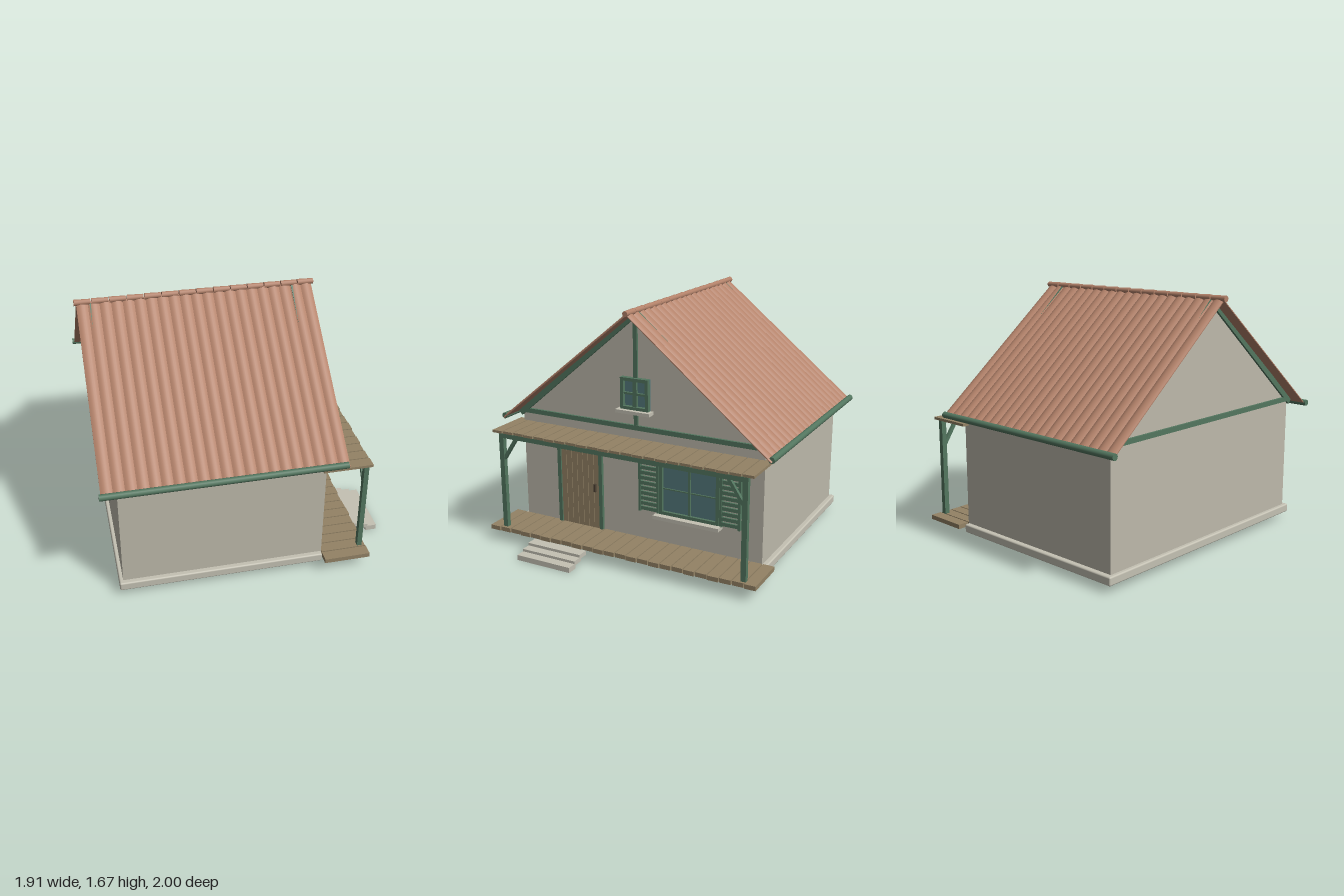
import * as THREE from 'three';
import { toCreasedNormals } from 'three/addons/utils/BufferGeometryUtils.js';
import { RoundedBoxGeometry } from 'three/addons/geometries/RoundedBoxGeometry.js';

const paint = (name, color) => {
  const m = new THREE.MeshStandardMaterial({ color });
  m.name = name;
  return m;
};

export function createModel() {
  const plaster = paint('plaster', 0xbdb9ab);
  const stone = paint('stone', 0xc4c1b3);
  const tile = paint('roof tile', 0xb3826a);
  const wood = paint('wood', 0x938265);
  const green = paint('green paint', 0x53765f);
  const glass = paint('glass', 0x55797c);
  const iron = paint('dark handle', 0x4a4032);

  const house = new THREE.Group();
  house.name = 'house';
  const add = (name, geo, mat, parent = house) => {
    const mesh = new THREE.Mesh(geo, mat);
    mesh.name = name;
    parent.add(mesh);
    return mesh;
  };
  // Box given by its limits on each axis
  const box = (name, mat, x0, x1, y0, y1, z0, z1) => {
    const m = add(name, new THREE.BoxGeometry(x1 - x0, y1 - y0, Math.abs(z1 - z0)), mat);
    m.position.set((x0 + x1) / 2, (y0 + y1) / 2, (z0 + z1) / 2);
    return m;
  };
  // Beam between two points of the (z, y) plane
  const beam = (name, x0, x1, za, ya, zb, yb, thick) => {
    const len = Math.hypot(zb - za, yb - ya);
    const m = add(name, new THREE.BoxGeometry(x1 - x0, thick, len), green);
    m.position.set((x0 + x1) / 2, (ya + yb) / 2, (za + zb) / 2);
    m.rotation.x = -Math.atan2(yb - ya, zb - za);
    return m;
  };
  // Rod along x
  const rod = (name, mat, x0, x1, y, z, r0, r1 = r0) => {
    const m = add(name, new THREE.CylinderGeometry(r1, r0, x1 - x0, 14), mat);
    m.rotation.z = -Math.PI / 2;
    m.position.set((x0 + x1) / 2, y, z);
  };

  // Plinth and walls with gables
  add('plinth', new RoundedBoxGeometry(1.34, 0.057, 1.86, 2, 0.01), stone).position.set(-0.2, 0.0775, 0);
  const gable = new THREE.Shape();
  gable.moveTo(-0.897, 0.1);
  gable.lineTo(0.897, 0.1);
  gable.lineTo(0.897, 0.893);
  gable.lineTo(0, 1.622);
  gable.lineTo(-0.897, 0.893);
  const walls = add('walls', new THREE.ExtrudeGeometry(gable, { depth: 1.315, bevelEnabled: false }), plaster);
  walls.rotation.y = Math.PI / 2;
  walls.position.x = -0.845;

  // Roof slopes: rows of rounded tiles extruded down the slope
  const tiles = 21, width = 1.535, pitch = width / tiles, steps = 6;
  const profile = new THREE.Shape();
  profile.moveTo(-width / 2, 0);
  profile.lineTo(width / 2, 0);
  for (let i = tiles - 1; i >= 0; i--) {
    for (let s = steps; s >= 0; s--) {
      if (s === steps && i < tiles - 1) continue;
      const t = s / steps;
      profile.lineTo(-width / 2 + (i + t) * pitch, 0.006 + 0.012 * 4 * t * (1 - t));
    }
  }
  const slopeAngle = Math.atan2(0.796, 0.98);
  const slopeGeo = toCreasedNormals(
    new THREE.ExtrudeGeometry(profile, { depth: 0.98 / Math.cos(slopeAngle), bevelEnabled: false }), 0.5);
  for (const side of [0, 1]) {
    const slope = new THREE.Group();
    slope.name = 'roofSlope';
    slope.position.set(-0.1775, 1.632, 0);
    slope.rotation.y = side * Math.PI;
    add('roofTiles', slopeGeo, tile, slope).rotation.x = slopeAngle;
    house.add(slope);
  }

  // Ridge caps
  const caps = 14, capLen = 1.57 / caps;
  for (let i = 0; i < caps; i++) {
    const x = -0.96 + i * capLen;
    rod('ridgeCap', tile, x, x + capLen - 0.006, 1.646, 0, 0.021, 0.018);
  }

  // Gutters and gable timbers
  for (const s of [1, -1]) {
    rod('gutter', green, -0.957, 0.58, 0.851, 0.98 * s, 0.021);
    for (const x of [-0.861, 0.451]) beam('rafter', x, x + 0.036, 0.915 * s, 0.857, 0, 1.627, 0.038);
  }
  for (const x of [-0.861, 0.451]) box('tieBeam', green, x, x + 0.036, 0.865, 0.897, -0.9, 0.9);
  box('gablePost', green, 0.455, 0.485, 0.89, 1.62, -0.014, 0.014);

  // Porch floor and canopy boards
  const boards = (name, count, z0, x0, x1, y0, y1) => {
    for (let i = 0; i < count; i++) {
      const z = z0 - i * 0.0826, shift = ((i * 7) % 5) * 0.002;
      box(name, wood, x0, x1 - shift, y0, y1, z - 0.075, z);
    }
  };
  boards('floorBoard', 24, 0.995, 0.47, 0.775, 0.083, 0.113);
  boards('canopyBoard', 23, 0.95, 0.435, 0.757, 0.787, 0.804);

  // Porch frame
  box('porchBeam', green, 0.72, 0.75, 0.755, 0.787, -0.905, 0.905);
  for (const s of [1, -1]) {
    box('porchPost', green, 0.718, 0.75, 0.113, 0.757, 0.87 * s, 0.905 * s);
    beam('porchBrace', 0.724, 0.746, 0.872 * s, 0.61, 0.775 * s, 0.757, 0.022);
  }

  // Steps
  [[0.755, 0.83, 0.043, 0.073], [0.815, 0.892, 0.024, 0.054], [0.88, 0.955, 0, 0.036]]
    .forEach(([x0, x1, y0, y1]) => box('step', stone, x0, x1, y0, y1, 0.235, 0.643));

  // Door
  box('doorFrameSide', green, 0.46, 0.492, 0.113, 0.755, 0.59, 0.617);
  box('doorFrameSide', green, 0.46, 0.492, 0.113, 0.755, 0.263, 0.289);
  box('doorFrameTop', green, 0.46, 0.492, 0.732, 0.757, 0.263, 0.617);
  box('doorBacking', iron, 0.465, 0.473, 0.113, 0.732, 0.289, 0.59);
  for (let i = 0; i < 7; i++) {
    const z = 0.59 - i * 0.043;
    box('doorPlank', wood, 0.465, 0.482, 0.113, 0.732, z - 0.04, z);
  }
  box('doorHandle', iron, 0.48, 0.5, 0.38, 0.435, 0.313, 0.327);

  // Framed window with a cross of glazing bars
  const windowAt = (name, z0, z1, y0, y1, x, frame, bar) => {
    const zc = (z0 + z1) / 2, yc = (y0 + y1) / 2;
    box(name + 'Glass', glass, 0.465, 0.478, y0, y1, z0, z1);
    box(name + 'Frame', green, 0.465, x, y0, y1, z0, z0 + frame);
    box(name + 'Frame', green, 0.465, x, y0, y1, z1 - frame, z1);
    box(name + 'Frame', green, 0.465, x, y0, y0 + frame, z0, z1);
    box(name + 'Frame', green, 0.465, x, y1 - frame, y1, z0, z1);
    box(name + 'Bar', green, 0.465, x - 0.008, y0, y1, zc - bar, zc + bar);
    box(name + 'Bar', green, 0.465, x - 0.01, yc - bar / 2, yc + bar / 2, z0, z1);
  };
  windowAt('window', -0.605, -0.175, 0.318, 0.68, 0.497, 0.024, 0.008);
  box('windowSill', stone, 0.465, 0.54, 0.295, 0.32, -0.62, -0.15);
  windowAt('gableWindow', -0.102, 0.102, 1.003, 1.215, 0.505, 0.022, 0.014);
  box('gableSill', stone, 0.465, 0.535, 0.983, 1.005, -0.125, 0.125);

  // Louvred shutters
  for (const [z0, z1, stile] of [[-0.172, -0.022, -0.03], [-0.752, -0.608, -0.744]]) {
    box('shutterStile', green, 0.472, 0.498, 0.315, 0.682, stile - 0.008, stile + 0.008);
    const inner = z0 + z1 - stile;
    box('shutterStile', green, 0.472, 0.498, 0.315, 0.682, inner - 0.008, inner + 0.008);
    for (let i = 0; i < 10; i++) {
      const y = 0.325 + i * 0.0355;
      box('shutterSlat', green, 0.48, 0.494, y, y + 0.024, z0, z1);
    }
  }
  return house;
}
